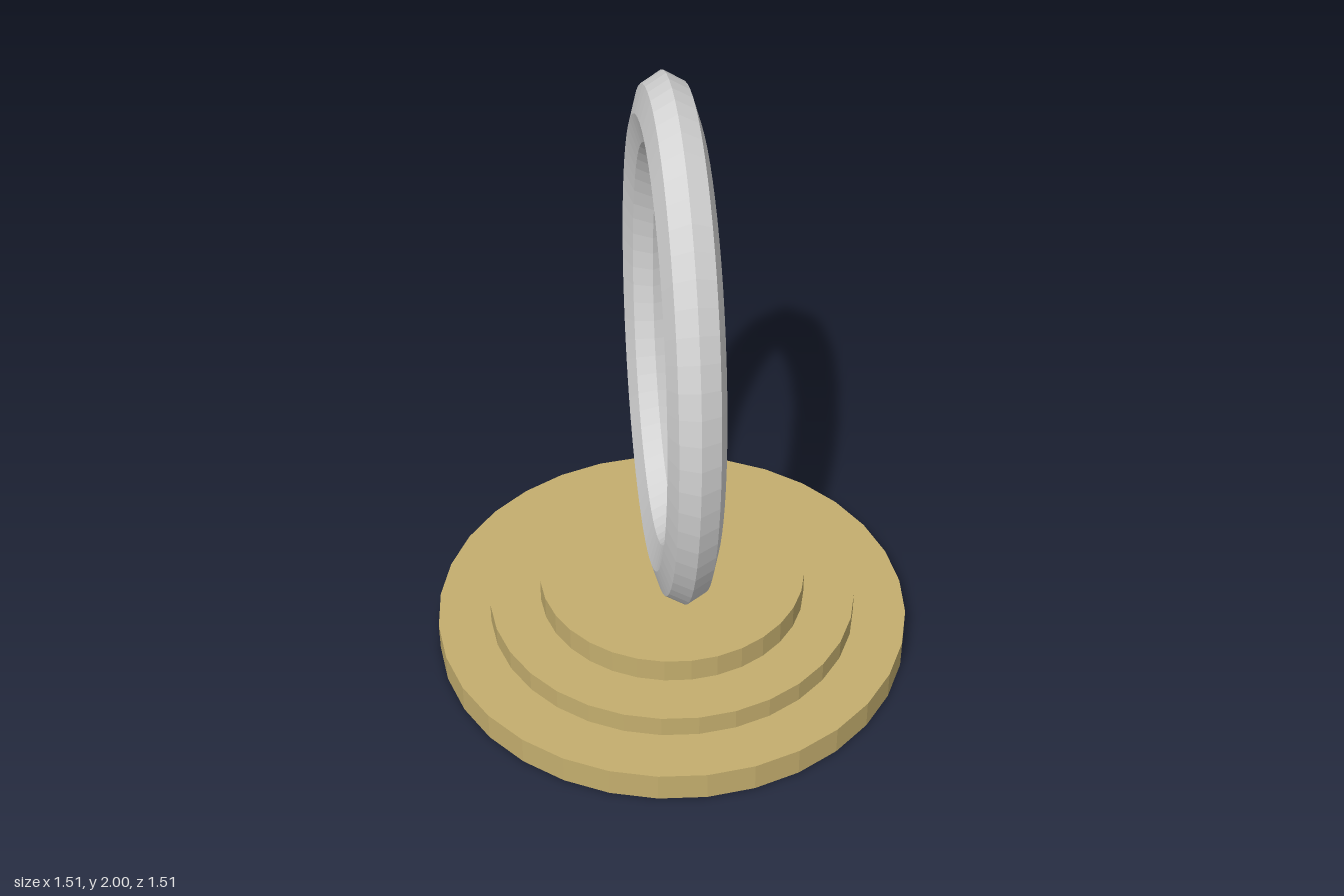
import * as THREE from 'three';

export function createModel() {
  const gold = new THREE.MeshStandardMaterial({ name: 'gold', color: 0xc4ae6e, flatShading: true });
  const silver = new THREE.MeshStandardMaterial({ name: 'silver', color: 0xd4d4d4, flatShading: true });
  const black = new THREE.MeshStandardMaterial({ name: 'black', color: 0x050505 });
  const model = new THREE.Group();
  model.name = 'ringOnPedestal';

  const add = (name, geometry, material, y) => {
    const mesh = new THREE.Mesh(geometry, material);
    mesh.name = name;
    mesh.position.y = y;
    model.add(mesh);
    return mesh;
  };

  // Stepped pedestal: name, radius, bottom, top
  const tiers = [
    ['lowerStep', 0.756, 0, 0.095],
    ['middleStep', 0.587, 0.095, 0.165],
    ['upperStep', 0.424, 0.165, 0.245],
  ];
  for (const [name, radius, bottom, top] of tiers) {
    const step = new THREE.CylinderGeometry(radius, radius, top - bottom, 32);
    // Drop the bottom cap, the last group of the cylinder
    step.setIndex([...step.index.array].slice(0, step.groups[2].start));
    step.clearGroups();
    add(name, step, gold, (bottom + top) / 2);
  }

  // Dark underside of the pedestal
  add('underside', new THREE.CircleGeometry(0.756, 32).rotateX(Math.PI / 2), black, 0);

  // Upright oval ring with an eight-sided section, standing across x
  const ring = new THREE.TorusGeometry(0.503, 0.084, 8, 64);
  ring.rotateY(Math.PI / 2).scale(1, 1.5, 1);
  add('ring', ring, silver, 1.12);

  return model;
}
